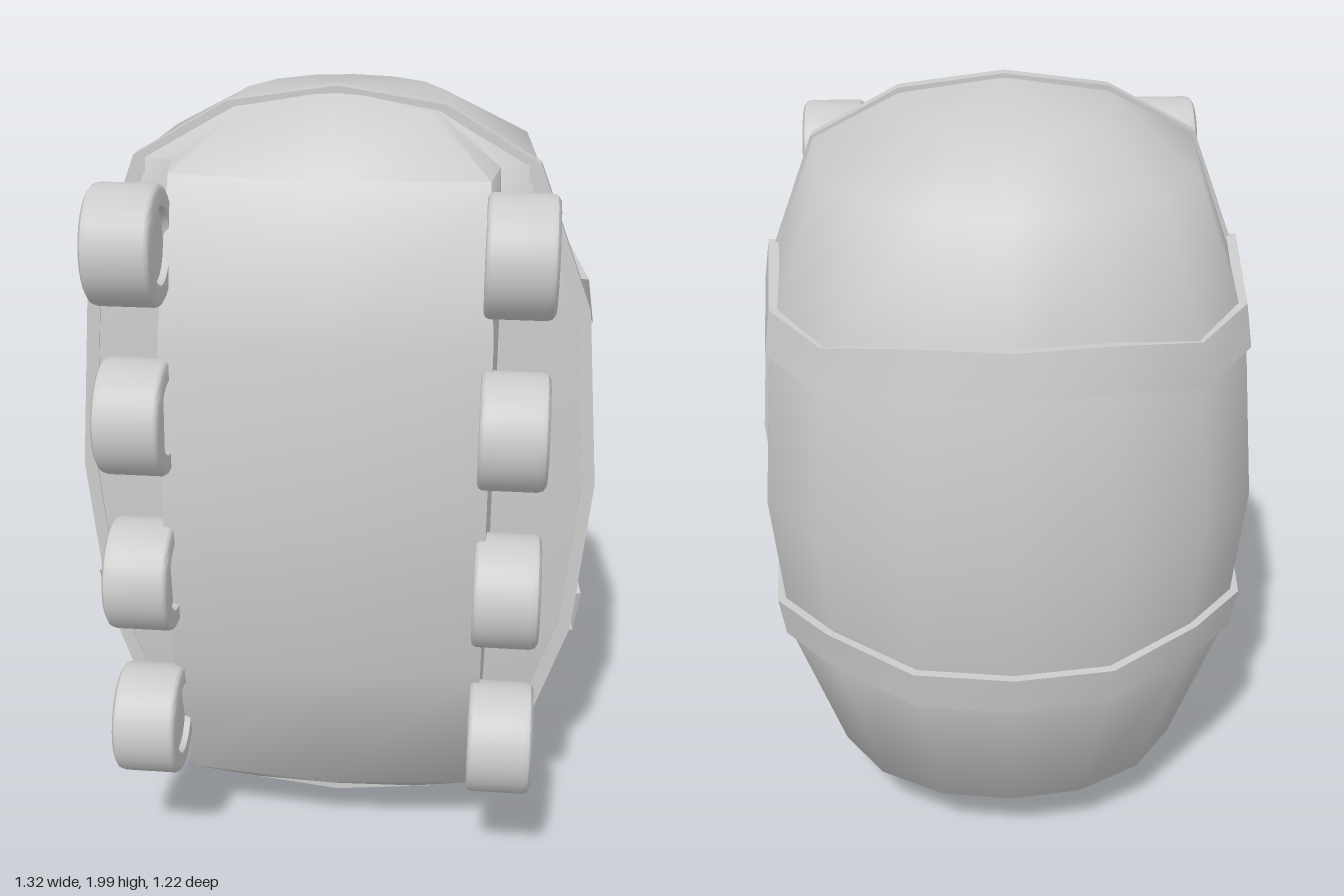
import * as THREE from 'three';
import { toCreasedNormals } from 'three/addons/utils/BufferGeometryUtils.js';

const material = new THREE.MeshStandardMaterial({ color: 0xcccccc, side: THREE.DoubleSide });

// Skin a grid of [x, y, z] rows; angles below the crease are smoothed
function loft(name, rows, crease, closed = false) {
  const n = rows[0].length, index = [];
  const last = closed ? rows.length : rows.length - 1;
  for (let i = 0; i < last; i++) {
    const k = (i + 1) % rows.length;
    for (let j = 0; j < n - 1; j++) {
      const a = i * n + j, b = a + 1, d = k * n + j, c = d + 1;
      index.push(a, b, c, a, c, d);
    }
  }
  const geo = new THREE.BufferGeometry();
  geo.setAttribute('position', new THREE.Float32BufferAttribute(rows.flat(2), 3));
  geo.setIndex(index);
  const mesh = new THREE.Mesh(toCreasedNormals(geo, crease), material);
  mesh.name = name;
  return mesh;
}

// Half cross-section of the shell at mid length: [x, z behind the rim]
const half = [[0.65, 0], [0.61, -0.44], [0.47, -0.63], [0.25, -0.75], [0, -0.785]];
const section = [...half, ...half.slice(0, 4).reverse().map(([x, z]) => [-x, z])];

// Stations along the body: y, shell x scale, shell z scale, rim z,
// belly step x, step z, corner x, corner z, centre z
const stations = [
  [0.03, 0, 0, 0.13, 0, 0.14, 0, 0.14, 0.14],
  [0.07, 0.4, 0.52, 0.15, 0.23, 0.17, 0.22, 0.2, 0.21],
  [0.2, 0.74, 0.8, 0.18, 0.39, 0.21, 0.37, 0.35, 0.385],
  [0.6, 0.94, 0.95, 0.18, 0.4, 0.23, 0.39, 0.45, 0.49],
  [1.02, 1, 1, 0.18, 0.4, 0.235, 0.39, 0.49, 0.54],
  [1.47, 0.94, 0.95, 0.18, 0.4, 0.23, 0.39, 0.45, 0.49],
  [1.83, 0.74, 0.8, 0.18, 0.39, 0.21, 0.37, 0.35, 0.39],
  [1.95, 0.4, 0.52, 0.15, 0.23, 0.17, 0.22, 0.2, 0.21],
  [1.99, 0, 0, 0.13, 0, 0.14, 0, 0.14, 0.14],
];

function makeBelly() {
  return loft('belly', stations.map(([y, sx, , rz, stepX, stepZ, cx, cz, mz]) => {
    const right = [[-0.65 * sx, y, rz + 0.01], [-stepX, y, stepZ], [-cx, y, cz]];
    const left = right.map(([x, py, z]) => [-x, py, z]).reverse();
    return [...right, [0, y, mz], ...left];
  }), 0.9);
}

// Lip running round the joint between shell and belly
function makeRim() {
  const side = [[0, 0.01, 0.135], [0.26, 0.05, 0.15], [0.485, 0.195, 0.18], [0.62, 0.6, 0.18],
    [0.658, 1.02, 0.18], [0.62, 1.48, 0.18], [0.485, 1.835, 0.18], [0.26, 1.963, 0.15], [0, 2, 0.135]];
  const loop = [...side, ...side.slice(0, 8).reverse().map(([x, y, z]) => [-x, y, z])];
  const ring = (k, dz) => loop.map(([x, y, z]) => [x * k, 1 + (y - 1) * k, z + dz]);
  return loft('rim', [ring(0.95, -0.018), ring(1, -0.018), ring(1, 0.018), ring(0.95, 0.018)], 0.6, true);
}

// Strap over the shell, bending toward the middle at the shoulder points
function makeBand(y, lowScale, highScale, bend) {
  const dips = [0, 0.025, 0.045, 0, 0, 0, 0.045, 0.025, 0];
  const line = (h, k) => section.map(([x, z], i) => [x * k, y + h + bend * dips[i], 0.18 + z * k]);
  const t = 0.04;
  return loft('band', [line(-0.055, lowScale - t), line(-0.055, lowScale),
    line(0.055, highScale), line(0.055, highScale - t)], 0.4, true);
}

function makeWheel() {
  const wheel = new THREE.Group();
  wheel.name = 'wheel';
  const add = (name, geo, x = 0, y = 0, z = 0) => {
    const mesh = new THREE.Mesh(geo, material);
    mesh.name = name;
    mesh.position.set(x, y, z);
    wheel.add(mesh);
  };
  // Tyre and recessed disc in one profile, outer face toward +y
  const profile = [[0, -0.065], [0.085, -0.065], [0.09, -0.08], [0.128, -0.08], [0.136, -0.076],
    [0.14, -0.068], [0.14, 0.06], [0.136, 0.073], [0.125, 0.08], [0.1, 0.08], [0.088, 0.074],
    [0.081, 0.06], [0.078, 0.025], [0, 0.025]];
  add('tyre', toCreasedNormals(new THREE.LatheGeometry(
    profile.map(([r, h]) => new THREE.Vector2(r, h)), 32), 0.7));
  add('hub', new THREE.CylinderGeometry(0.025, 0.025, 0.03, 16), 0, 0.035, 0);
  for (let i = 0; i < 4; i++) {
    const a = i * Math.PI / 2;
    add('bolt', new THREE.CylinderGeometry(0.012, 0.012, 0.02, 10),
      0.052 * Math.cos(a), 0.033, 0.052 * Math.sin(a));
  }
  return wheel;
}

export function createModel() {
  const model = new THREE.Group();
  model.name = 'vehicle';

  model.add(loft('shell', stations.map(([y, sx, sz, rz]) =>
    section.map(([x, z]) => [x * sx, y, rz + z * sz])), 1.2));
  model.add(makeBelly(), makeRim());
  model.add(makeBand(1.5, 0.965, 0.94, -1), makeBand(0.64, 0.965, 0.99, 1));

  // Four wheels on each side
  for (const side of [-1, 1]) {
    for (let i = 0; i < 4; i++) {
      const wheel = makeWheel();
      wheel.position.set(side * 0.445, 0.435 + i * 0.42, 0.472);
      wheel.rotation.z = -side * Math.PI / 2;
      model.add(wheel);
    }
  }
  return model;
}
